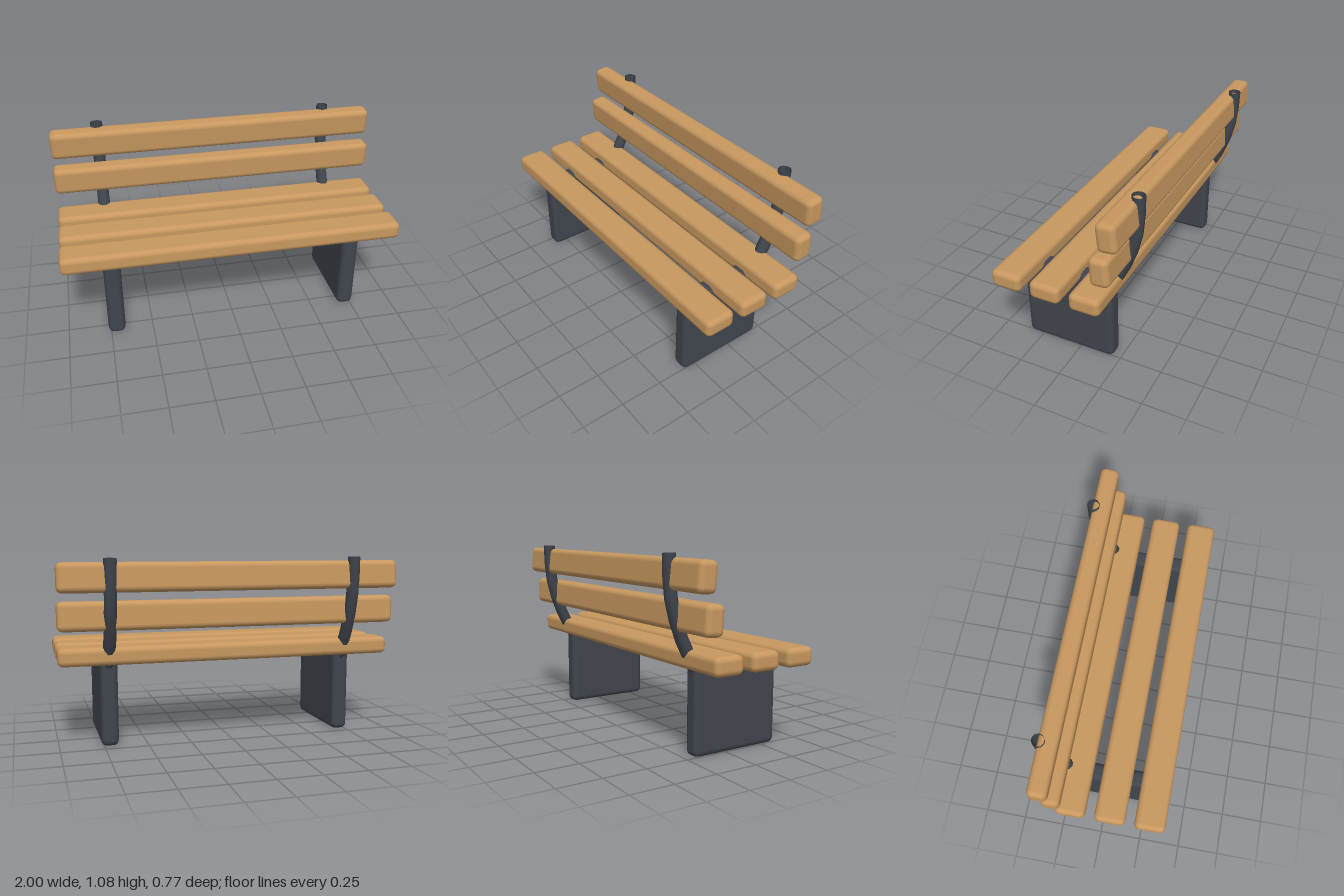
import * as THREE from 'three';
import { RoundedBoxGeometry } from 'three/addons/geometries/RoundedBoxGeometry.js';

const wood = new THREE.MeshStandardMaterial({ color: 0xc8985f });
const iron = new THREE.MeshStandardMaterial({ color: 0x40454d });
const ironTube = iron.clone();
ironTube.side = THREE.DoubleSide; // the posts are open tubes

// Box with softly bevelled edges
function block(name, size, position, material, tilt = 0) {
  const mesh = new THREE.Mesh(new RoundedBoxGeometry(...size, 2, 0.032), material);
  mesh.name = name;
  mesh.position.set(...position);
  mesh.rotation.x = tilt;
  return mesh;
}

export function createModel() {
  const bench = new THREE.Group();
  bench.name = 'bench';

  // Seat: three flat planks
  [0.298, 0.065, -0.168].forEach((z, i) => {
    bench.add(block('seatSlat' + (i + 1), [2, 0.105, 0.178], [0, 0.528, z], wood));
  });

  // Backrest: two upright planks, tipped slightly forward
  [[0.758, -0.26, 0.06], [0.97, -0.305, 0.08]].forEach(([y, z, tilt], i) => {
    bench.add(block('backSlat' + (i + 1), [2, 0.165, 0.11], [0, y, z], wood, tilt));
  });

  // Curved post that carries the backrest
  const path = new THREE.CatmullRomCurve3([
    [0.43, -0.155], [0.6, -0.252], [0.8, -0.324], [0.94, -0.344], [1.075, -0.348],
  ].map(([y, z]) => new THREE.Vector3(0, y, z)));
  const postGeometry = new THREE.TubeGeometry(path, 6, 0.036, 10);

  // A slab leg and a post on each side
  for (const [side, s] of [['left', 1], ['right', -1]]) {
    bench.add(block(side + 'Leg', [0.1, 0.525, 0.548], [s * 0.715, 0.2625, 0.065], iron));
    const post = new THREE.Mesh(postGeometry, ironTube);
    post.name = side + 'BackPost';
    post.position.x = s * 0.715;
    bench.add(post);
  }
  return bench;
}
